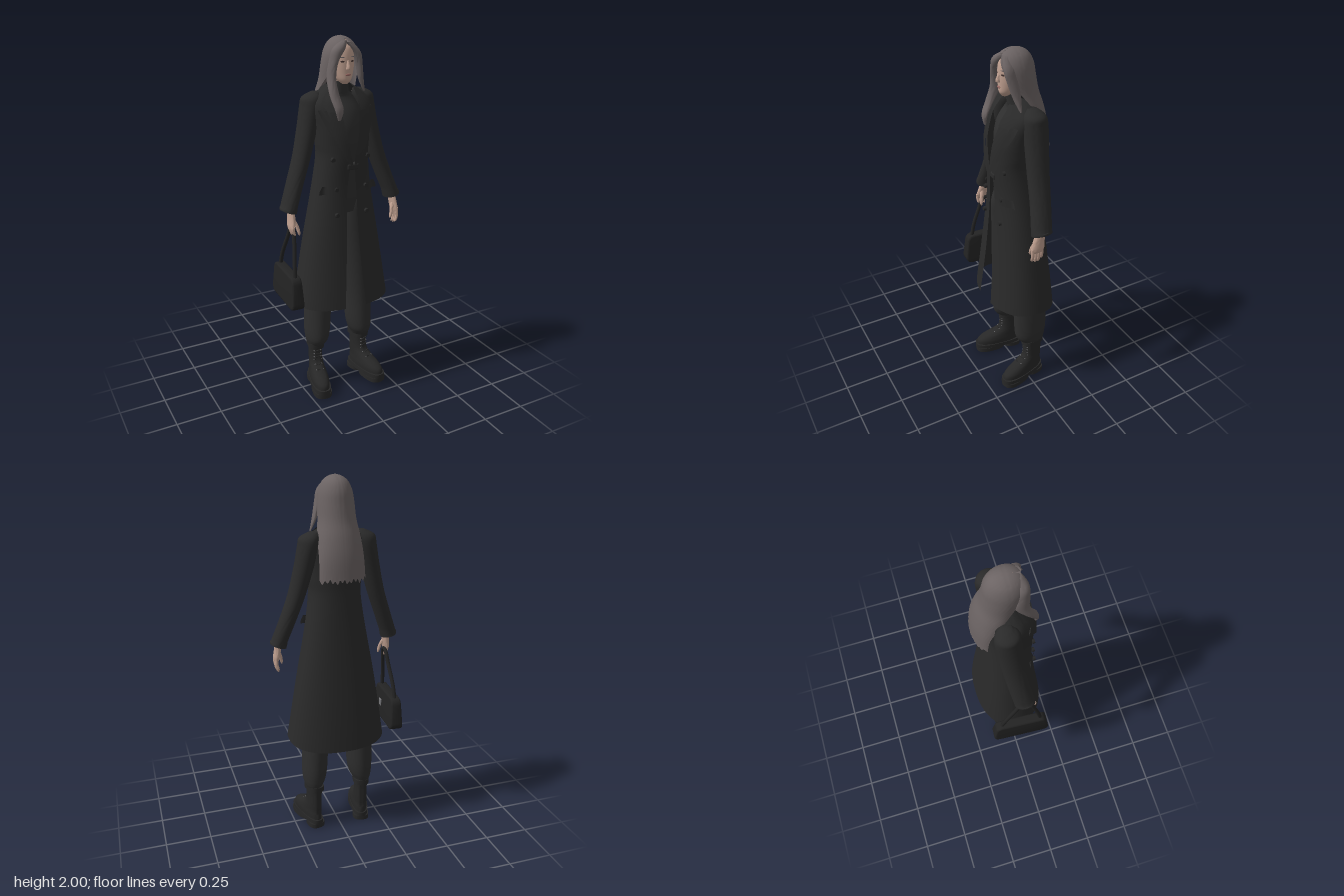
import * as THREE from 'three';
import { toCreasedNormals } from 'three/addons/utils/BufferGeometryUtils.js';
import { RoundedBoxGeometry } from 'three/addons/geometries/RoundedBoxGeometry.js';

const mat = (name, color, side = THREE.FrontSide) => {
  const m = new THREE.MeshStandardMaterial({ color, side });
  m.name = name;
  return m;
};

function build(verts, idx, crease = 0.9) {
  const g = new THREE.BufferGeometry();
  g.setAttribute('position', new THREE.Float32BufferAttribute(verts, 3));
  g.setIndex(idx);
  return toCreasedNormals(g, crease);
}

// Smooth surface through horizontal slices [y, cx, cz, rx, rz, frontGap], listed from the bottom up
function loft(sl, { seg = 32, n = 2, open = false, sub = 4, side = 1, warp = null } = {}) {
  const v = [], idx = [], rows = (sl.length - 1) * sub, cols = open ? seg + 1 : seg;
  const pw = (c) => Math.sign(c) * Math.abs(c) ** (2 / n);
  const p = new THREE.Vector3();
  for (let i = 0; i <= rows; i++) {
    const k = Math.min(Math.floor(i / sub), sl.length - 2), t = i / sub - k;
    const at = (q) => sl[Math.max(0, Math.min(sl.length - 1, q))];
    const [y, cx, cz, rx, rz, gap = 0] = sl[k].map((b, c) => {
      const a = at(k - 1)[c], d = at(k + 1)[c], e = at(k + 2)[c];
      return b + 0.5 * t * (d - a + t * (2 * a - 5 * b + 4 * d - e + t * (3 * (b - d) + e - a)));
    });
    for (let j = 0; j < cols; j++) {
      const a = open ? gap + (2 * Math.PI - 2 * gap) * j / seg : 2 * Math.PI * j / seg;
      p.set(side * cx + Math.max(0, rx) * pw(Math.sin(a)), y, cz + Math.max(0, rz) * pw(Math.cos(a)));
      if (warp) warp(p);
      v.push(p.x, p.y, p.z);
    }
  }
  for (let i = 0; i < rows; i++) for (let j = 0; j < seg; j++) {
    const a = i * cols + j, b = i * cols + (j + 1) % cols;
    idx.push(a, b, b + cols, a, b + cols, a + cols);
  }
  if (!open) {
    const lo = v.length / 3, hi = lo + 1, last = rows * cols, s = sl[0], e = sl[sl.length - 1];
    v.push(side * s[1], s[0], s[2], side * e[1], e[0], e[2]);
    for (let j = 0; j < seg; j++) {
      const j1 = (j + 1) % seg;
      idx.push(lo, j1, j, hi, last + j, last + j1);
    }
  }
  return build(v, idx);
}

const COAT = [
  [0.555, 0, 0, 0.275, 0.19, 0.19], [0.9, 0, 0, 0.22, 0.153, 0.14], [1.2, 0, 0.005, 0.165, 0.126, 0.13],
  [1.38, 0, 0.016, 0.14, 0.122, 0.07], [1.46, 0, 0.016, 0.145, 0.12, 0.17], [1.55, 0, 0.012, 0.153, 0.118, 0.25],
  [1.66, 0, -0.005, 0.168, 0.1, 0.3], [1.715, 0, -0.022, 0.125, 0.078, 0.47], [1.755, 0, -0.025, 0.062, 0.055, 0.97]];

// Depth of the coat's front at a point
function coatFront(x, y) {
  let k = 0;
  while (k < COAT.length - 2 && COAT[k + 1][0] < y) k++;
  const t = (y - COAT[k][0]) / (COAT[k + 1][0] - COAT[k][0]);
  const [, , cz, rx, rz] = COAT[k].map((a, c) => a + (COAT[k + 1][c] - a) * t);
  return cz + rz * (1 - Math.min(Math.abs(x) / rx, 0.88) ** 2.3) ** (1 / 2.3);
}

// Cloth panel lying on the coat's front, from rows [y, inner x, outer x]
function panel(rows, side, lift) {
  const v = [], idx = [], seg = 8;
  rows.forEach(([y, a, b], i) => {
    for (let j = 0; j <= seg; j++) {
      const x = a + (b - a) * j / seg, q = i * (seg + 1) + j;
      v.push(side * x, y, coatFront(x, y) + lift);
      if (i && j) {
        const c = [q - seg - 2, q - seg - 1, q, q - seg - 2, q, q - 1];
        idx.push(...(side > 0 ? c : c.reverse()));
      }
    }
  });
  return build(v, idx);
}

export function createModel() {
  const root = new THREE.Group();
  root.name = 'womanInLongCoat';
  const coat = mat('coatCloth', 0x2a2a2a, THREE.DoubleSide), cloth = mat('trouserCloth', 0x2e2e2e);
  const boot = mat('bootLeather', 0x272727), bagMat = mat('bagLeather', 0x232323);
  const skin = mat('skin', 0xc0a090), hair = mat('hair', 0x6b6363, THREE.DoubleSide);
  const metal = mat('metal', 0x77777a), dark = mat('eyeDark', 0x3a2c2a), lip = mat('lips', 0x9a6a64);
  const add = (name, geo, m, parent = root) => {
    const o = new THREE.Mesh(geo, m);
    o.name = name;
    parent.add(o);
    return o;
  };

  // Head, neck and face
  add('head', loft([[1.763, 0, 0.05, 0.014, 0.016], [1.785, 0, 0.032, 0.038, 0.05], [1.82, 0, 0.018, 0.054, 0.066],
    [1.86, 0, 0.008, 0.063, 0.077], [1.91, 0, 0, 0.066, 0.083], [1.95, 0, 0, 0.058, 0.07], [1.982, 0, 0, 0.02, 0.03]]), skin);
  add('neck', loft([[1.72, 0, -0.012, 0.038, 0.038], [1.82, 0, 0, 0.037, 0.04]]), skin);
  add('nose', loft([[1.838, 0, 0.082, 0.011, 0.012], [1.846, 0, 0.086, 0.011, 0.016], [1.885, 0, 0.078, 0.006, 0.008]], { seg: 12 }), skin);
  const disc = (name, m, x, y, z, w, h, yaw = 0) => {
    const o = add(name, new THREE.SphereGeometry(1, 14, 8), m);
    o.scale.set(w, h, 0.004);
    o.position.set(x, y, z);
    o.rotation.y = yaw;
  };
  disc('mouth', lip, 0, 1.812, 0.085, 0.016, 0.006);

  // Hair: long back curtain open at the face, with a ragged end, and two front locks
  add('backHair', loft([[1.485, 0, -0.11, 0.128, 0.068, 1.8], [1.6, 0, -0.095, 0.122, 0.075, 1.75], [1.7, 0, -0.06, 0.113, 0.09, 1.5],
    [1.78, 0, -0.03, 0.1, 0.095, 1.2], [1.86, 0, -0.01, 0.095, 0.1, 0.75], [1.92, 0, 0, 0.086, 0.1, 0.5],
    [1.965, 0, 0, 0.065, 0.078, 0.2], [1.99, 0, 0, 0.034, 0.044, 0.02], [2, 0, 0, 0, 0, 0]], {
    open: true, seg: 64, warp: (p) => { if (p.y < 1.49) p.y += 0.009 * Math.sin(p.x * 260) + 0.005 * Math.sin(p.x * 97); } }), hair);
  add('rightLock', loft([[1.595, -0.072, 0.128, 0.008, 0.005], [1.65, -0.073, 0.128, 0.024, 0.013], [1.72, -0.082, 0.092, 0.026, 0.02],
    [1.8, -0.08, 0.055, 0.021, 0.035], [1.88, -0.069, 0.06, 0.022, 0.034], [1.94, -0.043, 0.064, 0.034, 0.03],
    [1.978, -0.008, 0.05, 0.018, 0.02]], { seg: 20 }), hair);
  add('leftLock', loft([[1.715, 0.125, 0.03, 0.004, 0.005], [1.78, 0.1, 0.038, 0.012, 0.022], [1.86, 0.08, 0.052, 0.014, 0.03],
    [1.92, 0.06, 0.06, 0.02, 0.03], [1.972, 0.018, 0.055, 0.02, 0.02]], { seg: 20 }), hair);

  // Turtleneck and trouser top
  add('turtleneck', loft([[1.3, 0, 0.01, 0.1, 0.078], [1.5, 0, 0.012, 0.11, 0.092], [1.61, 0, 0.002, 0.115, 0.08],
    [1.69, 0, -0.018, 0.08, 0.055], [1.72, 0, -0.012, 0.05, 0.048], [1.775, 0, -0.004, 0.044, 0.047]]), cloth);
  add('trouserTop', loft([[1.08, 0, 0, 0.09, 0.09], [1.15, 0, 0, 0.135, 0.1], [1.25, 0, 0.002, 0.125, 0.1], [1.355, 0, 0.012, 0.108, 0.094]]), cloth);
  const waist = add('waistKnot', new RoundedBoxGeometry(0.07, 0.035, 0.03, 3, 0.01), coat);
  waist.position.set(0.005, 1.345, 0.125);

  // Coat body with a dipped back hem
  add('coatBody', loft(COAT, { open: true, seg: 64, n: 2.3, warp: (p) => { if (p.y < 0.7 && p.z < 0) p.y += p.z * 0.17 * (0.7 - p.y) / 0.145; } }), coat);

  for (const s of [1, -1]) {
    const side = s > 0 ? 'left' : 'right';
    disc(side + 'Eye', dark, s * 0.026, 1.878, 0.076, 0.012, 0.005, s * 0.35);
    disc(side + 'Brow', hair, s * 0.027, 1.899, 0.075, 0.016, 0.003, s * 0.35);

    // Lapel, collar, pocket flap and buttons
    add(side + 'Lapel', panel([[1.36, 0.005, 0.018], [1.4, 0.012, 0.05], [1.46, 0.024, 0.088], [1.53, 0.036, 0.118],
      [1.6, 0.05, 0.148], [1.645, 0.058, 0.165], [1.65, 0.058, 0.1]], s, 0.015), coat);
    add(side + 'Collar', panel([[1.635, 0.055, 0.118], [1.67, 0.058, 0.142], [1.7, 0.06, 0.125], [1.735, 0.05, 0.085]], s, 0.019), coat);
    add(side + 'PocketFlap', panel([[1.2, 0.088, 0.172], [1.22, 0.086, 0.168], [1.245, 0.086, 0.155]], s, 0.013), coat);
    for (const [x, y] of [[0.102, 1.39], [0.088, 1.23], [0.088, 1.09]]) {
      const b = add(side + 'CoatButton', new THREE.CylinderGeometry(0.011, 0.013, 0.014, 16), boot);
      b.rotation.x = Math.PI / 2;
      b.position.set(s * x, y, coatFront(x, y) + 0.008);
    }

    // Sleeve
    add(side + 'Sleeve', loft([[1.115, 0.317, 0.012, 0.043, 0.057], [1.14, 0.31, 0.01, 0.044, 0.057], [1.27, 0.262, -0.008, 0.045, 0.057],
      [1.4, 0.217, -0.02, 0.047, 0.06], [1.55, 0.178, -0.03, 0.052, 0.064], [1.65, 0.157, -0.034, 0.055, 0.066],
      [1.695, 0.148, -0.034, 0.053, 0.056], [1.722, 0.125, -0.034, 0.025, 0.025]], { side: s,
      warp: (p) => { if (p.y < 1.13) p.y += (Math.abs(p.x) - 0.317) * 0.3; } }), coat);

    // Hand with fingers; the right one closes round the strap
    const hx = s > 0 ? 0.318 : 0.308, tip = s > 0 ? 0.955 : 0.985;
    add(side + 'Hand', loft([[1.02, hx + 0.006, 0.04, 0.012, 0.032], [1.04, hx + 0.005, 0.038, 0.016, 0.038],
      [1.08, hx, 0.03, 0.018, 0.034], [1.14, hx - 0.004, 0.016, 0.021, 0.024]], { side: s, seg: 20 }), skin);
    for (let f = 0; f < 4; f++) {
      const z = 0.014 + f * 0.018, e = tip + (f === 0 ? 0.015 : f === 3 ? 0.008 : 0);
      add(side + 'Finger', loft([[e, hx - 0.004, z - 0.002, 0.003, 0.003], [e + 0.01, hx + 0.001, z, 0.007, 0.008],
        [e + 0.04, hx + 0.008, z + 0.001, 0.008, 0.009], [1.045, hx + 0.005, z, 0.01, 0.01]], { side: s, seg: 10 }), skin);
    }
    add(side + 'Thumb', loft([[0.99, hx - 0.03, 0.062, 0.004, 0.004], [1.005, hx - 0.028, 0.062, 0.008, 0.009],
      [1.04, hx - 0.02, 0.054, 0.01, 0.012], [1.08, hx - 0.004, 0.04, 0.01, 0.014]], { side: s, seg: 10 }), skin);

    // Trouser leg gathered over the boot
    add(side + 'TrouserLeg', loft([[0.255, 0.143, -0.042, 0.044, 0.062], [0.275, 0.143, -0.036, 0.052, 0.078], [0.31, 0.139, -0.031, 0.063, 0.092],
      [0.38, 0.135, -0.032, 0.07, 0.098], [0.55, 0.128, -0.03, 0.073, 0.099], [0.8, 0.108, -0.02, 0.08, 0.1],
      [1, 0.084, -0.01, 0.08, 0.1], [1.12, 0.07, 0, 0.07, 0.098], [1.18, 0.065, 0, 0.06, 0.09]], { side: s }), cloth);

    // Boot, toes turned outward
    const b = new THREE.Group();
    b.name = side + 'Boot';
    b.position.set(s * 0.143, 0, -0.045);
    b.rotation.y = s * 0.2;
    root.add(b);
    const widen = (p) => { p.x *= 0.95 + Math.max(0, p.z) * 0.9; };
    const slab = (name, y0, y1, cz, rx, rz) =>
      add(name, loft([[y0, 0, cz, rx, rz], [y1, 0, cz, rx, rz]], { n: 2.7, sub: 1, warp: widen }), boot, b);
    add('bootUpper', loft([[0.045, 0, 0.077, 0.046, 0.138], [0.075, 0, 0.074, 0.047, 0.134], [0.1, 0, 0.058, 0.044, 0.115],
      [0.125, 0, 0.028, 0.041, 0.086], [0.155, 0, 0.006, 0.039, 0.064], [0.21, 0, 0, 0.039, 0.058], [0.27, 0, 0, 0.042, 0.061]],
    { n: 2.2, warp: widen }), boot, b);
    slab('bootSole', 0.025, 0.05, 0.077, 0.05, 0.144);
    slab('bootHeel', 0, 0.026, -0.012, 0.049, 0.053);
    slab('bootTread', 0, 0.026, 0.13, 0.049, 0.089);
    slab('bootCuff', 0.238, 0.268, 0, 0.048, 0.068);
    for (let i = 0; i < 6; i++) {
      const y = 0.125 + i * 0.02, z = i === 0 ? 0.108 : i === 1 ? 0.078 : 0.06;
      const lace = add('bootLace', new THREE.BoxGeometry(0.036, 0.005, 0.006), boot, b);
      lace.position.set(0, y, z);
      lace.rotation.z = i % 2 ? 0.3 : -0.3;
      for (const e of [-1, 1]) add('bootEyelet', new THREE.SphereGeometry(0.0035, 8, 6), metal, b).position.set(e * 0.02, y, z - 0.005);
    }
  }

  // Handbag with rounded corners, flap, clasp and strap
  const bag = new THREE.Group();
  bag.name = 'handbag';
  bag.position.set(-0.322, 0.59, -0.005);
  bag.rotation.y = -0.06;
  root.add(bag);
  const outline = new THREE.Shape();
  outline.moveTo(-0.12, 0.01);
  outline.lineTo(0.12, 0.01);
  outline.quadraticCurveTo(0.155, 0.01, 0.151, 0.045);
  outline.lineTo(0.138, 0.145);
  outline.quadraticCurveTo(0.134, 0.175, 0.105, 0.175);
  outline.lineTo(-0.105, 0.175);
  outline.quadraticCurveTo(-0.134, 0.175, -0.138, 0.145);
  outline.lineTo(-0.151, 0.045);
  outline.quadraticCurveTo(-0.155, 0.01, -0.12, 0.01);
  const body = new THREE.ExtrudeGeometry(outline, { depth: 0.048, bevelThickness: 0.01, bevelSize: 0.01, bevelSegments: 3, curveSegments: 8 });
  body.translate(0, 0, -0.024);
  body.rotateY(Math.PI / 2);
  const taper = body.attributes.position;
  for (let i = 0; i < taper.count; i++) taper.setX(i, taper.getX(i) * (1.08 - taper.getY(i) * 1.6));
  add('bagBody', toCreasedNormals(body, 0.6), bagMat, bag);
  add('bagClasp', new RoundedBoxGeometry(0.008, 0.04, 0.032, 2, 0.003), metal, bag).position.set(0.033, 0.095, 0.045);
  const strap = new THREE.CatmullRomCurve3([[0, 0.16, 0.115], [0.004, 0.25, 0.1], [0.016, 0.36, 0.07], [0.022, 0.42, 0.05], [0.024, 0.437, 0.025],
    [0.022, 0.42, 0], [0.016, 0.36, -0.03], [0.004, 0.25, -0.085], [0, 0.16, -0.115]].map((p) => new THREE.Vector3(...p)));
  add('bagStrap', new THREE.TubeGeometry(strap, 48, 0.011, 10), bagMat, bag);
  return root;
}
